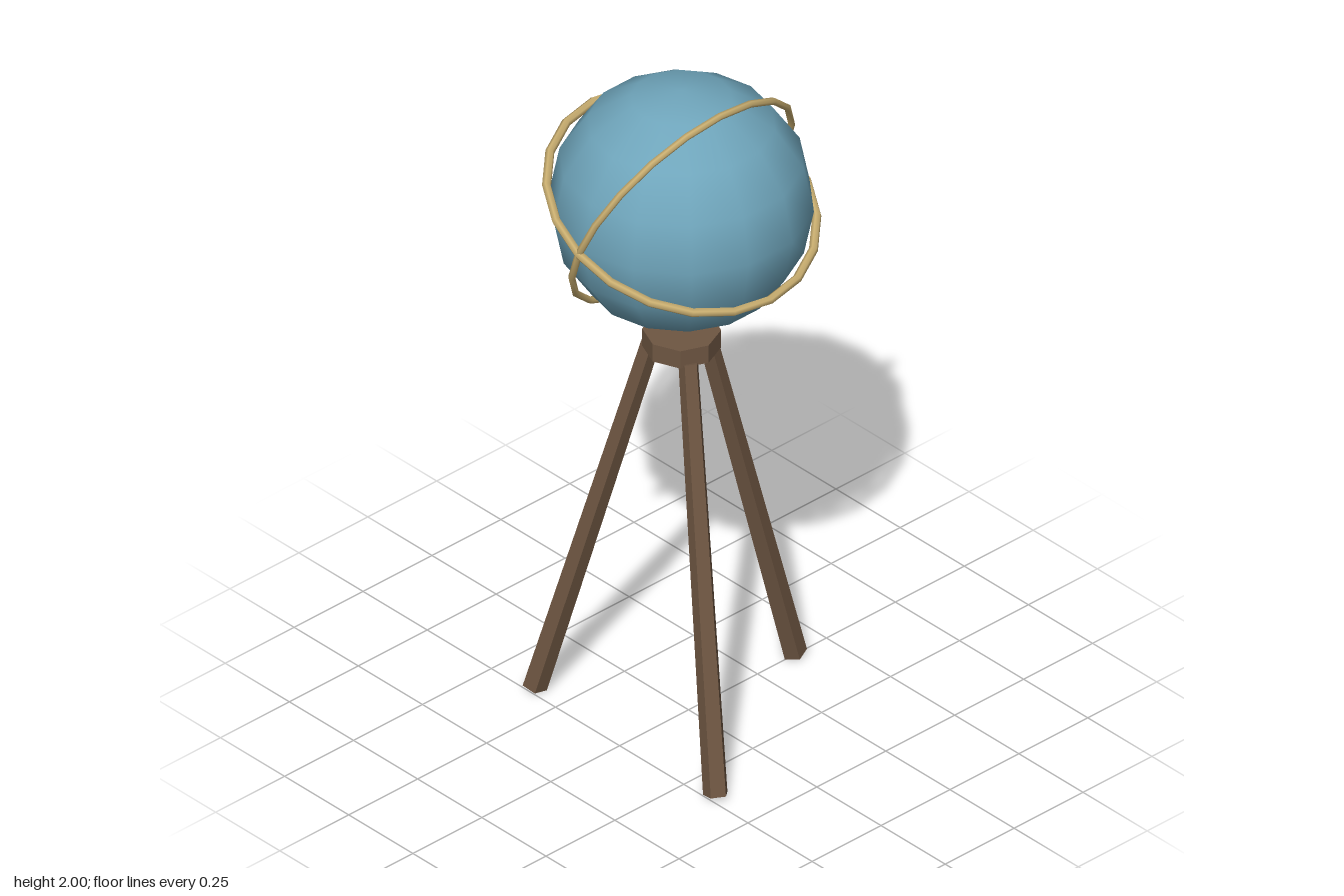
import * as THREE from 'three';

export function createModel() {
  const model = new THREE.Group();
  model.name = 'globeOnTripod';

  const blue = new THREE.MeshStandardMaterial({ color: 0x6fa5bb });
  blue.name = 'globe blue';
  const brass = new THREE.MeshStandardMaterial({ color: 0xc9ae70 });
  brass.name = 'pale brass';
  const wood = new THREE.MeshStandardMaterial({ color: 0x6e5642 });
  wood.name = 'brown wood';

  // Everything is set around one vertical axis
  const axisX = -0.025;
  const globeY = 1.643;
  const tilt = THREE.MathUtils.degToRad(23.5);

  const add = (name, geometry, material, parent = model) => {
    const mesh = new THREE.Mesh(geometry, material);
    mesh.name = name;
    parent.add(mesh);
    return mesh;
  };

  // Globe
  add('globe', new THREE.SphereGeometry(0.355, 14, 8), blue).position.set(axisX, globeY, 0);

  // Two crossed rings, leaning with the globe's axis
  const addRing = (name, tube, angle) => {
    const ring = add(name, new THREE.TorusGeometry(0.374, tube, 6, 20), brass);
    ring.position.set(axisX, globeY, 0);
    ring.rotation.x = angle;
  };
  addRing('equatorRing', 0.0125, tilt - Math.PI / 2);
  addRing('meridianRing', 0.01, tilt);

  // Hub at the top of the tripod (flat facets)
  const hub = new THREE.CylinderGeometry(0.105, 0.105, 0.055, 8).toNonIndexed();
  hub.computeVertexNormals();
  add('tripodHub', hub, wood).position.set(axisX, 1.203, 0);

  // Three tapered five-sided legs, splayed outward
  const top = new THREE.Vector2(0.085, 1.18);
  const foot = new THREE.Vector2(0.408, 0.009);
  const legGeometry = new THREE.CylinderGeometry(
    0.028, 0.035, top.distanceTo(foot), 5, 1, false, -Math.PI / 2).toNonIndexed();
  legGeometry.computeVertexNormals();
  for (let i = 0; i < 3; i++) {
    const pivot = new THREE.Group();
    pivot.name = 'legPivot' + (i + 1);
    pivot.position.x = axisX;
    pivot.rotation.y = (i * Math.PI * 2) / 3;
    const leg = add('leg' + (i + 1), legGeometry, wood, pivot);
    leg.position.set((top.x + foot.x) / 2, (top.y + foot.y) / 2, 0);
    leg.rotation.z = Math.atan2(foot.x - top.x, top.y - foot.y);
    model.add(pivot);
  }

  return model;
}
